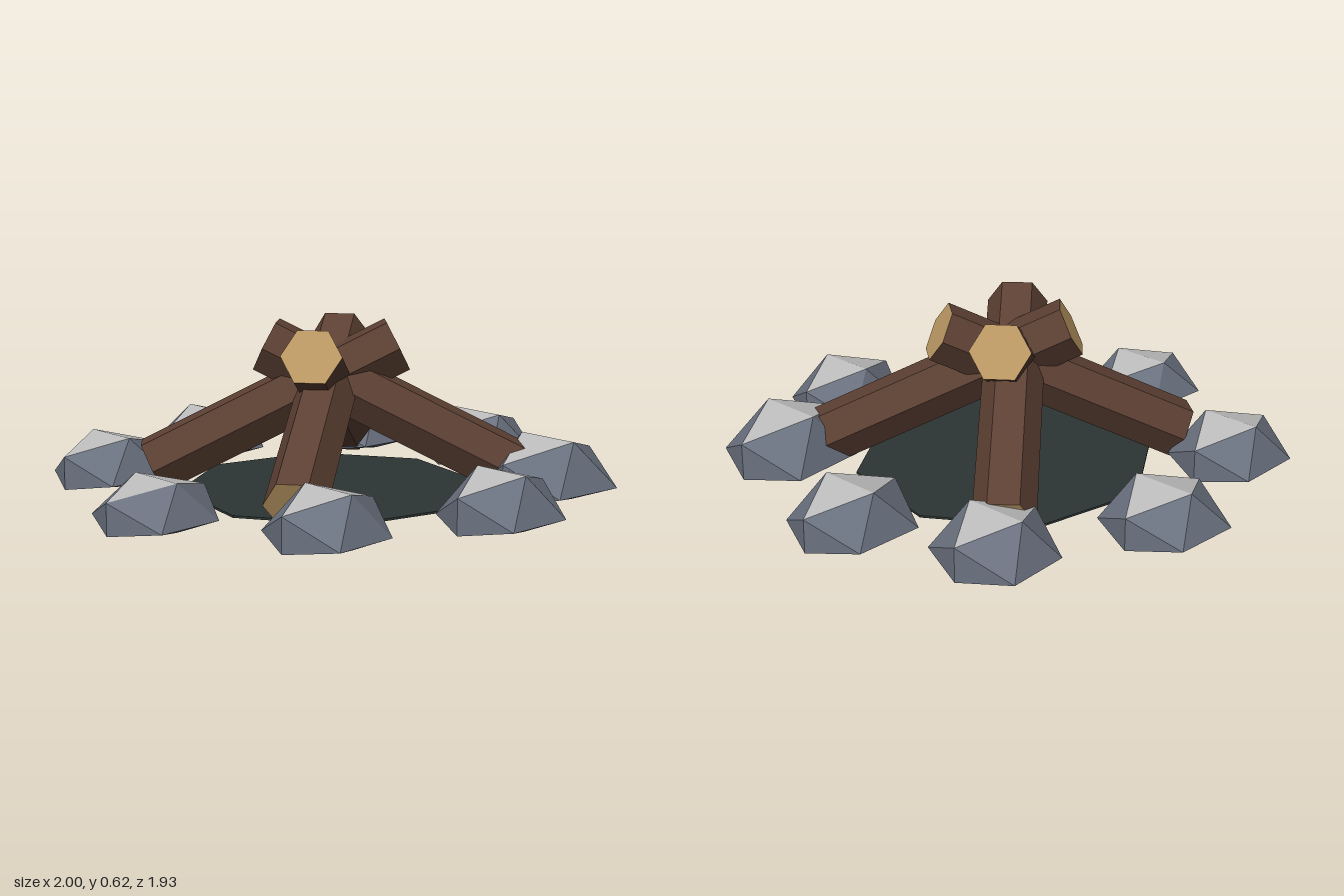
import * as THREE from 'three';

const mat = (name, color) => {
  const m = new THREE.MeshStandardMaterial({ color, flatShading: true });
  m.name = name;
  return m;
};

export function createModel() {
  const model = new THREE.Group();
  model.name = 'campfire';
  const bark = mat('bark', 0x5c4033);
  const wood = mat('cutWood', 0xbf9b66);
  const stone = mat('stone', 0x6b7280);
  const stoneTop = mat('stoneTop', 0xbcbcbc);
  const ash = mat('ash', 0x2d3534);

  // Octagonal ash bed
  const bed = new THREE.Mesh(new THREE.CylinderGeometry(0.555, 0.555, 0.008, 8), ash);
  bed.name = 'ashBed';
  bed.rotation.y = THREE.MathUtils.degToRad(10);
  bed.position.set(0.012, 0.005, 0);
  model.add(bed);

  // Four six-sided logs leaning across each other, from foot to upper end
  const addLog = (foot, top) => {
    const a = new THREE.Vector3(...foot), b = new THREE.Vector3(...top);
    const geo = new THREE.CylinderGeometry(0.11, 0.11, a.distanceTo(b), 6);
    geo.rotateX(Math.PI / 2).rotateZ(Math.PI / 2);
    const log = new THREE.Mesh(geo, [bark, wood, wood]);
    log.name = 'log';
    log.position.lerpVectors(a, b, 0.5);
    log.lookAt(b);
    model.add(log);
  };
  addLog([-0.48, 0.09, -0.42], [0.21, 0.53, 0.14]);
  addLog([0.45, 0.09, 0.505], [-0.14, 0.53, -0.18]);
  addLog([0.515, 0.09, -0.45], [-0.21, 0.53, 0.14]);
  addLog([-0.51, 0.09, 0.39], [0.21, 0.53, -0.155]);

  // Flattened stone: squashed icosahedron with a flat base and pale upper faces
  const addStone = (x, z, halfW, halfD, height, skew) => {
    const geo = new THREE.IcosahedronGeometry(1, 0).rotateY(Math.PI / 2);
    geo.scale(halfW / 0.851, (height - 0.03) / 0.851, halfD / 0.851);
    const p = geo.attributes.position;
    for (let i = 0; i < p.count; i++) {
      p.setY(i, Math.max(0, p.getY(i) + 0.03));
      p.setZ(i, p.getZ(i) * (1 + skew * p.getX(i)));
    }
    geo.computeVertexNormals();
    const n = geo.attributes.normal;
    geo.clearGroups();
    for (let i = 0; i < p.count; i += 3) geo.addGroup(i, 3, n.getY(i) > 0.8 ? 1 : 0);
    const rock = new THREE.Mesh(geo, [stone, stoneTop]);
    rock.name = 'ringStone';
    rock.position.set(x, 0, z);
    model.add(rock);
  };
  // x, z, half width, half depth, height, skew
  [
    [-0.792, 0.005, 0.208, 0.185, 0.168, -0.4],
    [-0.515, -0.63, 0.212, 0.182, 0.18, 0],
    [0.066, -0.773, 0.204, 0.192, 0.177, -0.3],
    [0.61, -0.5, 0.198, 0.19, 0.187, 0.2],
    [0.786, 0.008, 0.214, 0.188, 0.185, -0.2],
    [0.537, 0.585, 0.238, 0.198, 0.207, 0.3],
    [0.072, 0.783, 0.213, 0.178, 0.19, 0],
    [-0.515, 0.56, 0.202, 0.182, 0.185, -0.4],
  ].forEach((s) => addStone(...s));

  return model;
}
